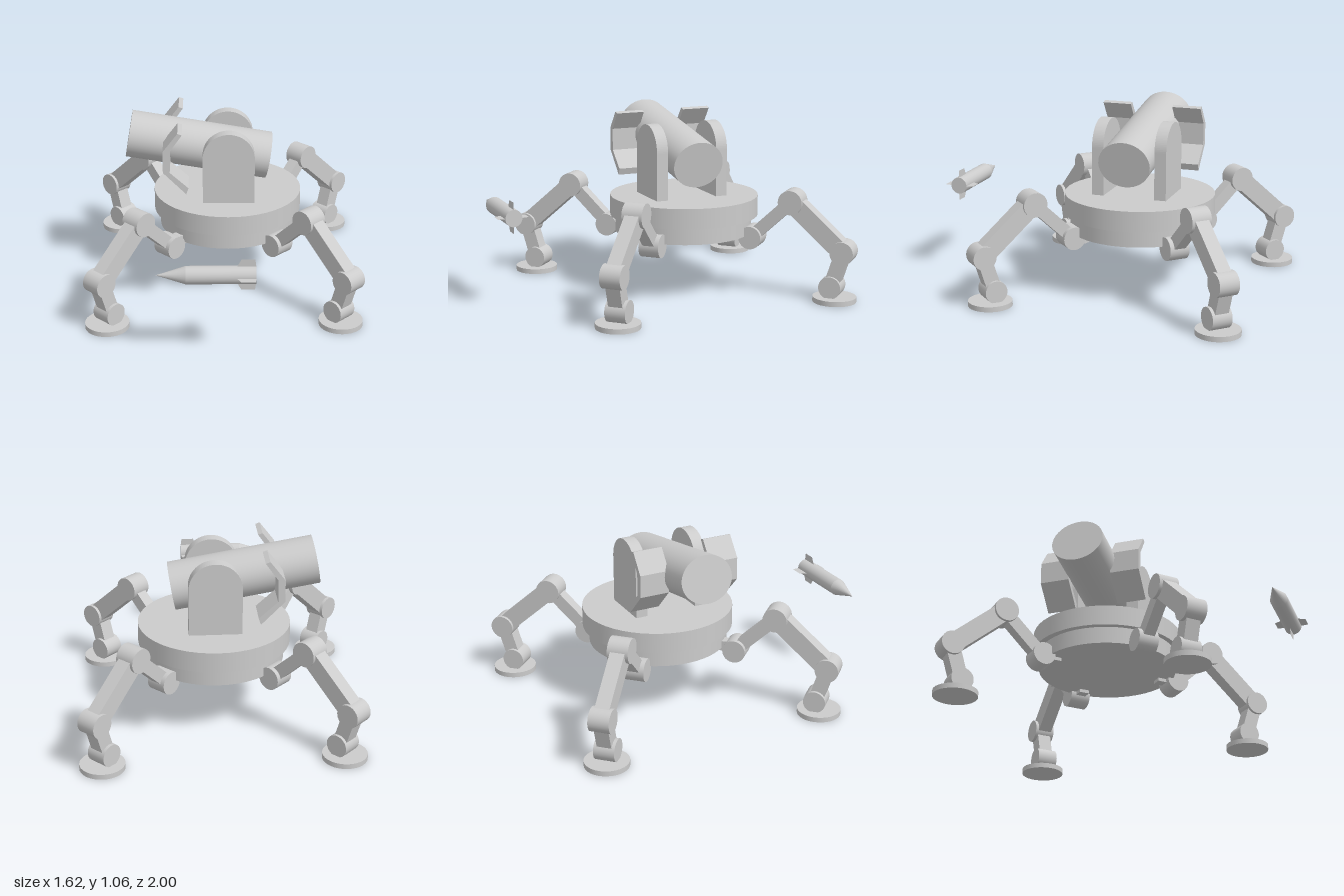
import * as THREE from 'three';

const material = new THREE.MeshStandardMaterial({ color: 0xcccccc });
const thinMaterial = new THREE.MeshStandardMaterial({ color: 0xcccccc, side: THREE.DoubleSide });
const CX = 0.02;    // turret centre
const CZ = -0.185;

function add(parent, name, geometry, x = 0, y = 0, z = 0, mat = material) {
  const mesh = new THREE.Mesh(geometry, mat);
  mesh.name = name;
  mesh.position.set(x, y, z);
  parent.add(mesh);
  return mesh;
}

// Solid outline in the xy plane, centred in z
function slab(points, depth) {
  const shape = new THREE.Shape(points.map(([x, y]) => new THREE.Vector2(x, y)));
  return new THREE.ExtrudeGeometry(shape, { depth, bevelEnabled: false }).translate(0, 0, -depth / 2);
}

// Square beam between two joints in the leg's own xy plane
function beam(leg, name, a, b, height, width) {
  const dx = b[0] - a[0], dy = b[1] - a[1];
  const mesh = add(leg, name, new THREE.BoxGeometry(Math.hypot(dx, dy), height, width),
    (a[0] + b[0]) / 2, (a[1] + b[1]) / 2);
  mesh.rotation.z = Math.atan2(dy, dx);
}

// One leg, reaching out along its local x axis
function makeLeg(name, angle, offset) {
  const leg = new THREE.Group();
  leg.name = name;
  const hip = [0.45 + offset, 0.345], knee = [0.692 + offset, 0.575];
  const elbow = [1.005 + offset, 0.3], ankle = [0.94 + offset, 0.09];

  const joints = { hipJoint: [hip, 0.068], kneeJoint: [knee, 0.072], elbowJoint: [elbow, 0.069], ankleJoint: [ankle, 0.066] };
  for (const [part, [p, radius]] of Object.entries(joints)) {
    add(leg, part, new THREE.CylinderGeometry(radius, radius, 0.122, 32).rotateX(Math.PI / 2), p[0], p[1]);
  }
  add(leg, 'hipMount', new THREE.BoxGeometry(0.12, 0.06, 0.06), hip[0] - 0.06, 0.36);
  beam(leg, 'thigh', hip, knee, 0.075, 0.07);
  beam(leg, 'foreleg', knee, elbow, 0.11, 0.085);
  beam(leg, 'shin', elbow, ankle, 0.085, 0.085);
  add(leg, 'foot', new THREE.CylinderGeometry(0.128, 0.128, 0.03, 32), 0.957 + offset, 0.015);

  leg.position.set(0, 0, CZ);
  leg.rotation.y = angle;
  return leg;
}

function makeRocket() {
  const rocket = new THREE.Group();
  rocket.name = 'rocket';
  add(rocket, 'rocketBody', new THREE.CylinderGeometry(0.05, 0.05, 0.38, 24).rotateZ(Math.PI / 2), -0.03);
  add(rocket, 'rocketNose', new THREE.ConeGeometry(0.05, 0.162, 24, 1, true).rotateZ(Math.PI / 2), -0.301);
  // Four paper-thin fins
  const fin = new THREE.ShapeGeometry(new THREE.Shape(
    [[0.058, 0], [0.16, 0], [0.16, 0.05], [0.154, 0.091], [0.08, 0.091], [0.058, 0.05]]
      .map(([x, y]) => new THREE.Vector2(x, y))));
  for (let i = 0; i < 4; i++) {
    add(rocket, 'rocketFin', fin, 0, 0, 0, thinMaterial).rotation.x = i * Math.PI / 2;
  }
  rocket.position.set(0, 0.543, 0.907);
  return rocket;
}

export function createModel() {
  const model = new THREE.Group();
  model.name = 'walkingLauncher';

  // Two-step round base
  add(model, 'lowerDisc', new THREE.CylinderGeometry(0.408, 0.408, 0.1, 48), CX, 0.4, -0.2);
  add(model, 'upperDisc', new THREE.CylinderGeometry(0.443, 0.443, 0.12, 48), CX, 0.51, -0.203);

  // Round-topped cradle plates on either side of the barrel
  const plate = new THREE.Shape();
  plate.moveTo(-0.153, 0.56);
  plate.lineTo(0.153, 0.56);
  plate.lineTo(0.153, 0.85);
  plate.absarc(0, 0.85, 0.153, 0, Math.PI, false);
  plate.closePath();
  const plateGeometry = new THREE.ExtrudeGeometry(plate, { depth: 0.07, bevelEnabled: false, curveSegments: 24 })
    .translate(0, 0, -0.035);

  // Bent guard brackets beside the barrel
  const guardGeometry = slab([[-0.273, 1.043], [-0.36, 0.93], [-0.36, 0.8], [-0.225, 0.663],
    [-0.212, 0.702], [-0.32, 0.8], [-0.32, 0.93], [-0.247, 1.034]], 0.175);

  for (const side of [-1, 1]) {
    add(model, 'cradlePlate', plateGeometry, 0.024, 0, CZ + side * 0.19);
    add(model, 'guardBracket', guardGeometry, 0, 0, CZ + side * 0.2175);
  }

  // Slightly oval barrel, tilted up toward its muzzle
  const barrel = add(model, 'barrel',
    new THREE.CylinderGeometry(0.1375, 0.1375, 0.843, 40).rotateZ(Math.PI / 2).scale(1, 1, 1.13),
    -0.151, 0.857, CZ);
  barrel.rotation.z = -0.172;

  // Diagonal pairs differ slightly in reach
  model.add(makeLeg('frontLeftLeg', -Math.PI / 4, -0.011));
  model.add(makeLeg('backRightLeg', Math.PI * 0.75, -0.011));
  model.add(makeLeg('backLeftLeg', Math.PI / 4, 0.011));
  model.add(makeLeg('frontRightLeg', -Math.PI * 0.75, 0.011));

  model.add(makeRocket());
  return model;
}
